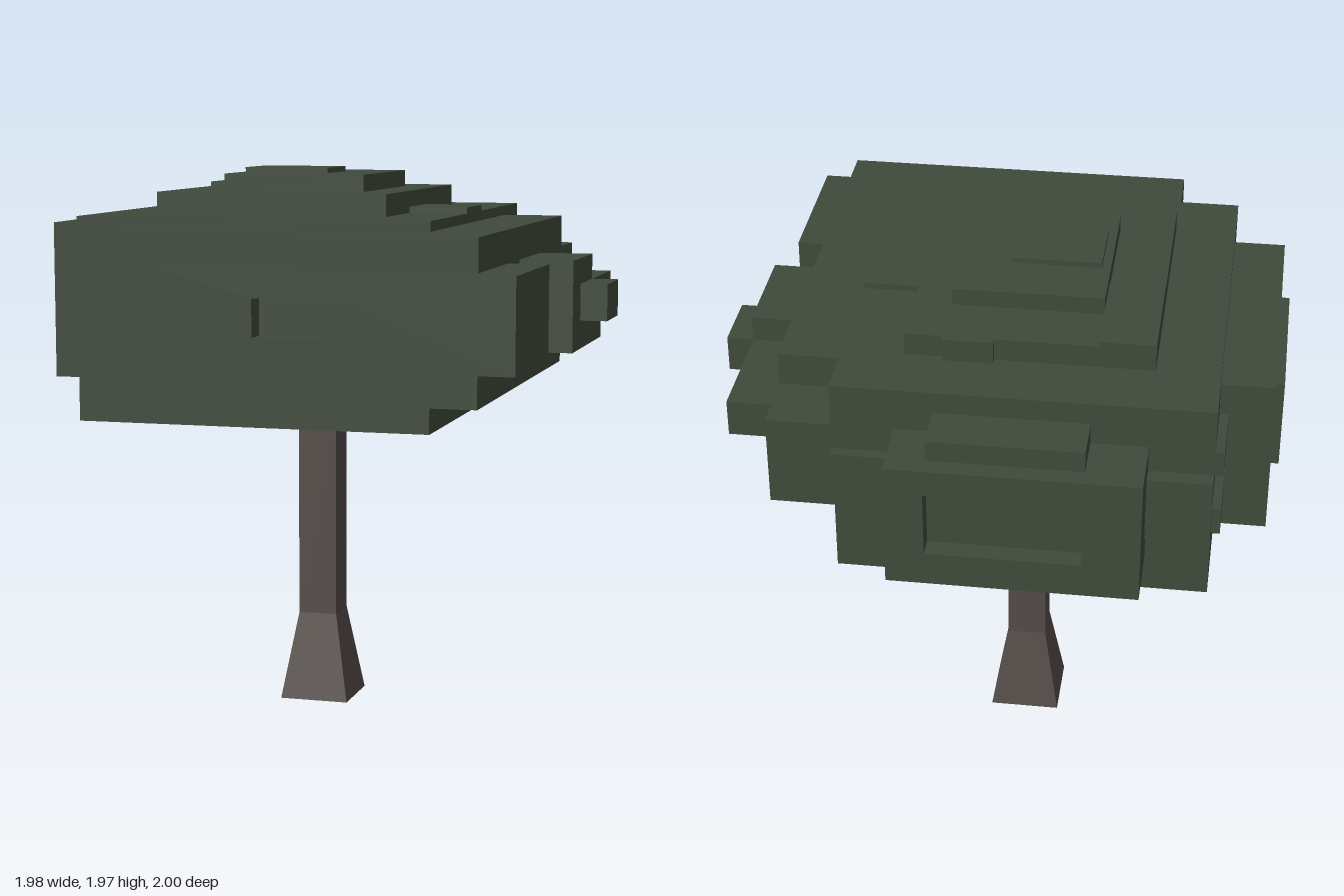
import * as THREE from 'three';

const leaf = new THREE.MeshStandardMaterial({ color: 0x3f4a3b, flatShading: true });
const bark = new THREE.MeshStandardMaterial({ color: 0x544b48, flatShading: true });

// Box given by its extents on each axis
function block(group, name, [x0, x1], [y0, y1], [z0, z1]) {
  const mesh = new THREE.Mesh(new THREE.BoxGeometry(x1 - x0, y1 - y0, z1 - z0), leaf);
  mesh.position.set((x0 + x1) / 2, (y0 + y1) / 2, (z0 + z1) / 2);
  mesh.name = name;
  group.add(mesh);
}

function trace(path, [u0, u1], [v0, v1]) {
  path.moveTo(u0, v0);
  path.lineTo(u1, v0);
  path.lineTo(u1, v1);
  path.lineTo(u0, v1);
  path.closePath();
  return path;
}

// Rectangular plate with a rectangular opening, leaving a shallow recess
function frame(group, name, u, v, holeU, holeV, depth) {
  const shape = trace(new THREE.Shape(), u, v);
  shape.holes.push(trace(new THREE.Path(), holeU, holeV));
  const mesh = new THREE.Mesh(new THREE.ExtrudeGeometry(shape, { depth, bevelEnabled: false }), leaf);
  mesh.name = name;
  group.add(mesh);
  return mesh;
}

// Square section with the given width, tapering upwards
function trunkSection(name, bottomWidth, topWidth, y0, y1) {
  const r = Math.SQRT1_2;
  const geometry = new THREE.CylinderGeometry(topWidth * r, bottomWidth * r, y1 - y0, 4);
  geometry.rotateY(Math.PI / 4);
  const mesh = new THREE.Mesh(geometry, bark);
  mesh.position.set(-0.09, (y0 + y1) / 2, -0.007);
  mesh.name = name;
  return mesh;
}

export function createModel() {
  const tree = new THREE.Group();
  tree.name = 'blockyTree';

  // Trunk
  const trunk = new THREE.Group();
  trunk.name = 'trunk';
  trunk.add(trunkSection('trunkFoot', 0.254, 0.143, 0, 0.32));
  trunk.add(trunkSection('trunkShaft', 0.143, 0.143, 0.32, 1.12));
  tree.add(trunk);

  // Heights shared by the foliage layers
  const slabY = [1.225, 1.78], midY = [1.345, 1.665], coreY = [1.445, 1.575];

  const crown = new THREE.Group();
  crown.name = 'crown';
  tree.add(crown);
  const add = (...args) => block(crown, ...args);

  add('crownCore', [-0.78, 0.48], [1.1, 1.815], [-0.765, 0.665]);

  // Stepped top
  add('topTierLower', [-0.565, 0.27], [1.8, 1.893], [-0.535, 0.445]);
  add('topTierCorner', [-0.565, -0.375], [1.8, 1.91], [-0.535, -0.13]);
  add('topTierBackNub', [-0.03, 0.14], [1.8, 1.893], [-0.56, -0.5]);
  add('topTierMiddle', [-0.375, 0.14], [1.88, 1.953], [-0.325, 0.265]);
  add('topTierUpper', [-0.345, -0.035], [1.94, 1.972], [-0.12, 0.115]);
  add('topSidePatch', [0.26, 0.48], [1.8, 1.836], [-0.12, 0.115]);

  // Front
  add('frontSlab', [-0.565, 0.70], slabY, [0.4, 0.92]);
  add('frontSlabNub', [-0.61, -0.55], midY, [0.6, 0.92]);
  add('frontBlock', [-0.37, 0.84], midY, [0.445, 0.92]);
  frame(crown, 'frontPlate', [-0.37, 0.84], midY, [-0.035, 0.275], coreY, 0.08).position.z = 0.92;

  // Back
  const backY = [1.225, 1.667];
  add('backBlock', [-0.565, 0.27], backY, [-0.93, -0.7]);
  frame(crown, 'backPlate', [-0.565, 0.27], backY, [-0.375, 0.14], [1.345, 1.575], 0.07).position.z = -1;
  add('backTopPatch', [-0.375, 0.14], [1.65, 1.74], [-0.935, -0.7]);
  add('backRightNub', [-0.78, -0.55], [1.345, 1.575], [-0.82, -0.7]);
  add('backLeftNub', [0.25, 0.48], coreY, [-0.805, -0.7]);

  // Left side
  add('leftSlab', [0.4, 0.70], slabY, [-0.535, 0.6]);
  add('leftRearBlock', [0.4, 0.70], midY, [-0.765, -0.5]);
  add('leftBlockFront', [0.6, 0.89], midY, [-0.12, 0.265]);
  add('leftBlockMiddle', [0.6, 0.89], [1.345, 1.575], [-0.325, -0.1]);
  add('leftBlockRear', [0.6, 0.89], coreY, [-0.535, -0.3]);
  add('leftNub', [0.8, 0.985], coreY, [-0.12, 0.115]);

  // Right side
  add('rightSlab', [-0.96, -0.7], slabY, [-0.535, 0.445]);
  const rightPlate = frame(crown, 'rightPlate', [-0.325, 0.265], midY, [-0.12, 0.115], coreY, 0.03);
  rightPlate.rotation.y = -Math.PI / 2;
  rightPlate.position.x = -0.96;
  add('rightFrontNub', [-0.81, -0.7], coreY, [0.4, 0.665]);
  for (const y of [[1.345, 1.445], [1.575, 1.665]]) add('rightBackNub', [-0.81, -0.7], y, [-0.765, -0.5]);

  return tree;
}
